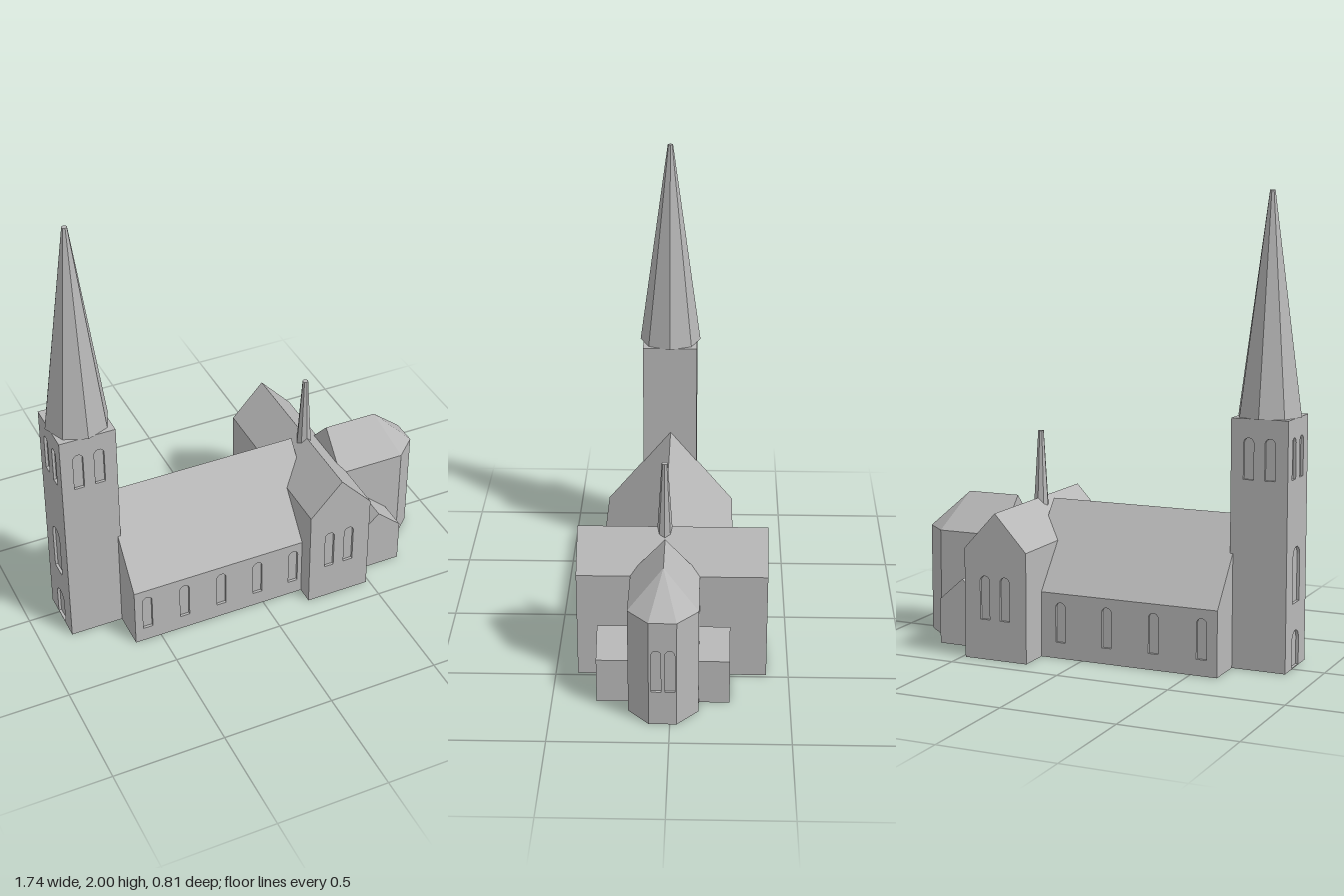
import * as THREE from 'three';

const stone = new THREE.MeshStandardMaterial({ color: 0xb8b8b8 });
stone.name = 'stone grey';
stone.flatShading = true;

const AXIS = 0.033; // z of the long axis
const D = 0.012;    // depth of the window recesses

const toShape = (pts) => new THREE.Shape(pts.map(([a, b]) => new THREE.Vector2(a, b)));
const rect = (a, b, h) => [[a, 0], [b, 0], [b, h], [a, h]];
const gable = (a, b, eave, ridge) => [[a, 0], [b, 0], [b, eave], [(a + b) / 2, ridge], [a, eave]];

// round-arched opening: centre, sill, top, width
function arch([u, y0, y1, w]) {
  const r = w / 2, p = new THREE.Path();
  p.moveTo(u - r, y0);
  p.lineTo(u + r, y0);
  p.lineTo(u + r, y1 - r);
  p.absarc(u, y1 - r, r, 0, Math.PI, false);
  p.lineTo(u - r, y0);
  return p;
}

export function createModel() {
  const model = new THREE.Group();
  model.name = 'church';

  const add = (name, geo, parent = model) => {
    const mesh = new THREE.Mesh(geo, stone);
    mesh.name = name;
    parent.add(mesh);
    return mesh;
  };
  const part = (name) => {
    const g = new THREE.Group();
    g.name = name;
    model.add(g);
    return g;
  };
  const extrude = (shape, depth) =>
    new THREE.ExtrudeGeometry(shape, { depth, bevelEnabled: false, curveSegments: 10 });

  // solid with a constant outline along z, or along x
  const prismZ = (name, pts, z0, z1, parent) => {
    const m = add(name, extrude(toShape(pts), z1 - z0), parent);
    m.position.z = z0;
    return m;
  };
  const prismX = (name, pts, x0, x1, z, parent) => {
    const m = add(name, extrude(toShape(pts), x1 - x0), parent);
    m.rotation.y = Math.PI / 2;
    m.position.set(x0, 0, z);
    return m;
  };
  // wall skin with openings; angle turns it from facing +z
  const wall = (name, pts, wins, angle, x, z, parent) => {
    const shape = toShape(pts);
    shape.holes.push(...wins.map(arch));
    const m = add(name, extrude(shape, D), parent);
    m.rotation.y = angle;
    m.position.set(x - Math.sin(angle) * D, 0, z - Math.cos(angle) * D);
    return m;
  };

  // west tower
  const tower = part('tower');
  const tx = -0.732, tz = 0.036, th = 0.125, tTop = 1.065;
  const core = add('towerCore', new THREE.BoxGeometry(2 * th - D, tTop, 2 * th - 2 * D), tower);
  core.position.set(tx + D / 2, tTop / 2, tz);
  const side = rect(-th, th, tTop);
  const belfry = [-0.047, 0.047].map((u) => [u, 0.81, 0.985, 0.045]);
  wall('towerFrontWall', side, belfry, 0, tx, tz + th, tower);
  wall('towerBackWall', side, belfry, Math.PI, tx, tz - th, tower);
  wall('towerEntranceWall', side, [...belfry, [0, 0.28, 0.52, 0.085], [0, 0.004, 0.16, 0.085]],
    -Math.PI / 2, tx - th, tz, tower);
  wall('towerInnerWall', side, [], Math.PI / 2, tx + th, tz, tower);
  const spire = add('spire', new THREE.CylinderGeometry(0.012, 0.14, 2 - tTop, 8), tower);
  spire.position.set(tx, (2 + tTop) / 2, tz);

  // nave with a steep roof
  const nave = part('nave');
  const nh = 0.294, n0 = -0.62, n1 = 0.275, eave = 0.285;
  prismX('naveCore', rect(-nh + D, nh - D, eave), n0, n1, AXIS, nave);
  prismX('naveRoof', [[-nh, eave], [nh, eave], [0, 0.64]], n0, n1, AXIS, nave);
  const naveWin = (u) => [u, 0.07, 0.245, 0.045];
  wall('naveFrontWall', rect(n0, n1, eave),
    [-0.56, -0.383, -0.206, -0.029, 0.148].map(naveWin), 0, 0, AXIS + nh, nave);
  wall('naveBackWall', rect(-n1, -n0, eave),
    [0.1, -0.117, -0.333, -0.55].map((x) => naveWin(-x)), Math.PI, 0, AXIS - nh, nave);

  // transept with gabled ends
  const transept = part('transept');
  const cx = 0.338, ch = 0.147, cz = 0.405;
  const end = gable(-ch, ch, 0.48, 0.64);
  prismZ('transeptCore', end, -cz + D, cz - D, transept).position.x = cx;
  const endWins = [-0.05, 0.045].map((u) => [u, 0.175, 0.365, 0.045]);
  wall('transeptFrontGable', end, endWins, 0, cx, cz, transept);
  wall('transeptBackGable', end, endWins, Math.PI, cx, -cz, transept);

  // slim turret over the crossing
  const turret = add('crossingTurret', new THREE.CylinderGeometry(0.013, 0.034, 0.338, 8));
  turret.position.set(cx, 0.769, AXIS);

  // low gabled side chapels on both sides of the choir
  prismZ('sideChapels', [[0.47, 0], [0.7, 0], [0.7, 0.2], [0.587, 0.3], [0.485, 0.2], [0.47, 0.2]],
    -0.247, 0.312);

  // choir with a three-sided apse
  const choir = part('choir');
  const az = 0.029, hw = 0.147, he = 0.058, x0 = 0.453, xs = 0.768, xe = 0.866, top = 0.48;
  const slope = (hw - he) / (xe - xs), hb = he + D * slope;
  const plan = [[x0, -hw], [xs, -hw], [xe - D, -hb], [xe - D, hb], [xs, hw], [x0, hw]];
  const choirCore = add('choirCore', extrude(toShape(plan), top), choir);
  choirCore.rotation.x = -Math.PI / 2;
  choirCore.position.z = az;
  const apse = wall('apseEndWall', rect(-he, he, top),
    [-0.027, 0.03].map((u) => [u, 0.155, 0.35, 0.04]), Math.PI / 2, xe, az, choir);
  // flare the inner edge so the skin meets the slanted walls
  const pos = apse.geometry.attributes.position;
  for (let i = 0; i < pos.count; i++) {
    if (pos.getZ(i) < D / 2 && Math.abs(pos.getX(i)) > he - 1e-4) {
      pos.setX(i, Math.sign(pos.getX(i)) * hb);
    }
  }
  apse.geometry.computeVertexNormals();

  // hipped choir roof
  const eaves = [[x0, hw], [xs, hw], [xe, he], [xe, -he], [xs, -hw], [x0, -hw]]
    .map(([x, z]) => [x, top, az + z]);
  const r0 = [x0, 0.64, az], r1 = [0.697, 0.64, az];
  const tris = [];
  for (let i = 0; i < 5; i++) tris.push(eaves[i], eaves[i + 1], r1);
  tris.push(eaves[0], r1, r0, eaves[5], r0, r1, eaves[5], eaves[0], r0);
  const roof = new THREE.BufferGeometry();
  roof.setAttribute('position', new THREE.Float32BufferAttribute(tris.flat(), 3));
  roof.computeVertexNormals();
  add('choirRoof', roof, choir);

  return model;
}
